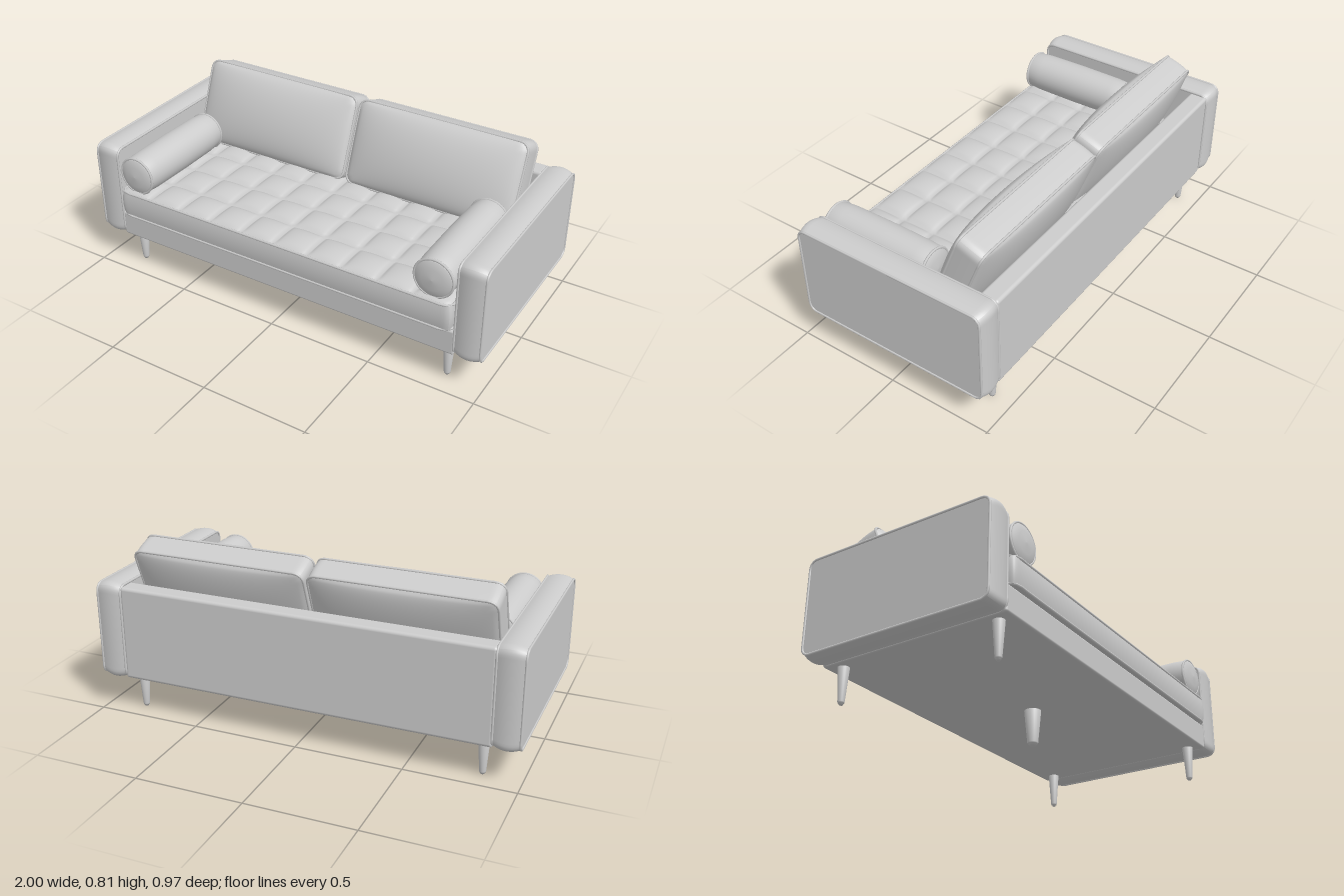
import * as THREE from 'three';
import { RoundedBoxGeometry } from 'three/addons/geometries/RoundedBoxGeometry.js';

const fabric = new THREE.MeshStandardMaterial({ color: 0xcccccc });
fabric.name = 'light grey';

function mesh(name, geometry, x = 0, y = 0, z = 0) {
  const m = new THREE.Mesh(geometry, fabric);
  m.name = name;
  m.position.set(x, y, z);
  return m;
}

// Upholstered block: rounded outline in xy, puffed faces on +-z, bulging border band
function pillow({ w, h, d, r, segs, front, back, edge = 0 }) {
  const g = new THREE.BoxGeometry(w, h, d, segs[0], segs[1], 8);
  const p = g.attributes.position;
  const inner = (a, half) => THREE.MathUtils.clamp(a, r - half, half - r);
  for (let i = 0; i < p.count; i++) {
    let x = p.getX(i), y = p.getY(i), z = p.getZ(i);
    const u = x / w * 2, v = y / h * 2, t = z / d * 2;
    const cx = inner(x, w / 2), cy = inner(y, h / 2);
    const dx = x - cx, dy = y - cy, len = Math.hypot(dx, dy);
    if (len > 1e-9) {
      const k = Math.max(Math.abs(dx), Math.abs(dy)) / len;
      x = cx + dx * k;
      y = cy + dy * k;
    }
    const band = 2 * edge * (1 - t * t);
    x *= 1 + band / w;
    y *= 1 + band / h;
    if (t > 0.999) z += front(u, v);
    if (t < -0.999) z -= back(u, v);
    p.setXYZ(i, x, y, z);
  }
  g.computeVertexNormals();
  return g;
}

// Piping that follows the rounded outline at depth z
function piping(w, h, r, z, radius) {
  const a = w / 2 - r, b = h / 2 - r;
  const s = new THREE.Shape();
  s.absarc(a, b, r, 0, Math.PI / 2);
  s.absarc(-a, b, r, Math.PI / 2, Math.PI);
  s.absarc(-a, -b, r, Math.PI, Math.PI * 1.5);
  s.absarc(a, -b, r, Math.PI * 1.5, Math.PI * 2);
  s.closePath();
  const pts = s.getSpacedPoints(120).slice(0, -1).map(q => new THREE.Vector3(q.x, q.y, z));
  return new THREE.TubeGeometry(new THREE.CatmullRomCurve3(pts, true), 160, radius, 6, true);
}

function upholstered(name, o, welt) {
  const g = new THREE.Group();
  g.name = name;
  g.add(mesh(name + 'Body', pillow(o)));
  for (const s of [-1, 1]) g.add(mesh(name + 'Piping', piping(o.w, o.h, o.r, s * o.d / 2, welt)));
  return g;
}

const puff = (amount, power) => (u, v) => amount * Math.pow(Math.max(0, (1 - u * u) * (1 - v * v)), power);

function leg(x, z, top, bottom) {
  const pts = [[0, 0], [bottom * 0.6, 0], [bottom * 0.6, 0.007], [bottom * 0.9, 0.007],
    [bottom, 0.013], [top, 0.168], [0, 0.168]].map(q => new THREE.Vector2(...q));
  return mesh('leg', new THREE.LatheGeometry(pts, 24), x, 0, z);
}

export function createModel() {
  const sofa = new THREE.Group();
  sofa.name = 'sofa';

  // Base frame and backrest
  sofa.add(mesh('baseFrame', new RoundedBoxGeometry(1.75, 0.122, 0.93, 3, 0.01), 0, 0.228, -0.008));
  sofa.add(mesh('backrest', new RoundedBoxGeometry(1.75, 0.447, 0.09, 4, 0.015), 0, 0.3905, -0.43));

  // Tufted seat cushion, ten by five squares
  const tuft = (u, v) => 0.024 * Math.pow(
    Math.abs(Math.sin(5 * Math.PI * u) * Math.sin(2.5 * Math.PI * (v + 1))), 0.45);
  const seat = upholstered('seatCushion', {
    w: 1.71, h: 0.84, d: 0.122, r: 0.025, segs: [120, 60], front: tuft, back: () => 0, edge: 0.006,
  }, 0.006);
  seat.rotation.x = -Math.PI / 2;
  seat.position.set(0, 0.355, 0.053);
  sofa.add(seat);

  for (const side of [-1, 1]) {
    // Arm with piped side panels
    const arm = upholstered('arm', {
      w: 0.93, h: 0.445, d: 0.12, r: 0.035, segs: [60, 40],
      front: () => 0, back: () => 0, edge: 0.012,
    }, 0.006);
    arm.rotation.y = Math.PI / 2;
    arm.position.set(side * 0.933, 0.394, -0.01);
    sofa.add(arm);

    // Leaning back cushion
    const cushion = upholstered('backCushion', {
      w: 0.835, h: 0.4, d: 0.12, r: 0.04, segs: [64, 40],
      front: puff(0.07, 0.5), back: puff(0.045, 0.5), edge: 0.003,
    }, 0.006);
    cushion.rotation.x = -0.37;
    cushion.position.set(side * 0.427, 0.6, -0.254);
    sofa.add(cushion);

    // Bolster with domed ends and piping rings
    const bolster = new THREE.Group();
    bolster.name = 'bolster';
    const profile = [[0, -0.285], [0.05, -0.281], [0.08, -0.272], [0.088, -0.265], [0.093, -0.2], [0.095, 0],
      [0.093, 0.2], [0.088, 0.265], [0.08, 0.272], [0.05, 0.281], [0, 0.285]];
    const roll = mesh('bolsterBody',
      new THREE.LatheGeometry(profile.map(q => new THREE.Vector2(...q)), 40));
    roll.rotation.x = Math.PI / 2;
    bolster.add(roll);
    for (const z of [-0.265, 0.265]) {
      bolster.add(mesh('bolsterPiping', new THREE.TorusGeometry(0.088, 0.006, 6, 40), 0, 0, z));
    }
    bolster.position.set(side * 0.765, 0.514, 0.188);
    sofa.add(bolster);

    // Corner legs
    for (const z of [0.386, -0.399]) sofa.add(leg(side * 0.824, z, 0.026, 0.015));
  }

  // Thicker middle leg
  sofa.add(leg(0, 0.003, 0.039, 0.025));
  return sofa;
}
